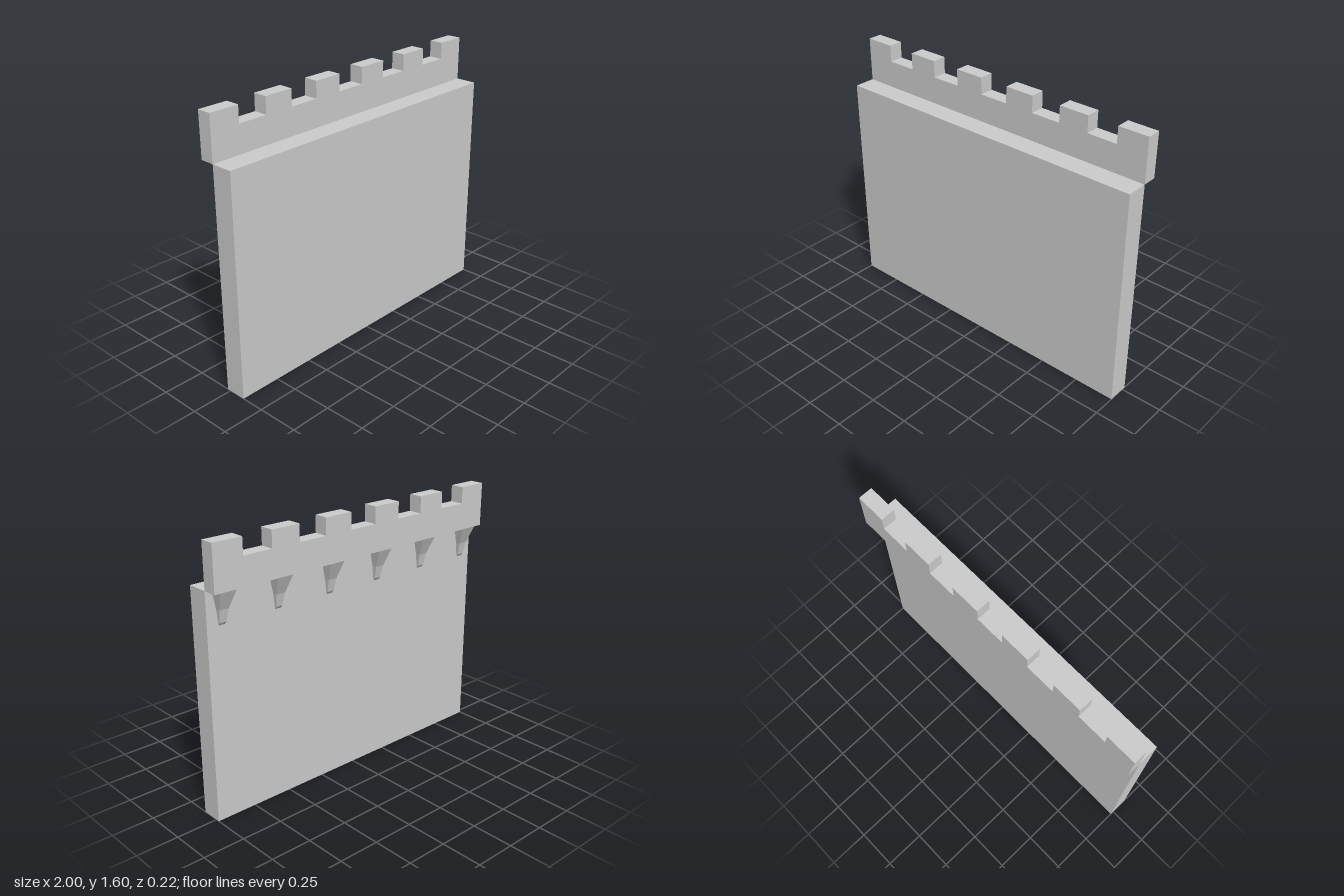
import * as THREE from 'three';

const material = new THREE.MeshStandardMaterial({ color: 0xcccccc, flatShading: true });
const FRONT = 0.108, BACK = -0.108, JOINT = -0.022; // z planes of wall and parapet
const WALL_TOP = 1.335, NOTCH = 1.5, TOP = 1.6;
const MERLONS = 6, STEP = 2 / (MERLONS * 2 - 1);

function addMesh(parent, geometry, name) {
  const mesh = new THREE.Mesh(geometry, material);
  mesh.name = name;
  parent.add(mesh);
  return mesh;
}

// Crenellated outline, extruded through the parapet's thickness
function parapetGeometry() {
  const shape = new THREE.Shape();
  shape.moveTo(-1, WALL_TOP);
  shape.lineTo(1, WALL_TOP);
  for (let i = 0; i < MERLONS; i++) {
    const right = 1 - i * 2 * STEP, left = right - STEP;
    if (i > 0) shape.lineTo(right, NOTCH);
    shape.lineTo(right, TOP);
    shape.lineTo(left, TOP);
    if (i < MERLONS - 1) shape.lineTo(left, NOTCH);
  }
  shape.closePath();
  return new THREE.ExtrudeGeometry(shape, { depth: JOINT - BACK, bevelEnabled: false })
    .translate(0, 0, BACK);
}

// Flared bracket: rectangular sections from bottom to top, [y, outer z, half width]
function corbelGeometry() {
  const sections = [
    [1.135, -0.025, 0.02],
    [1.15, -0.036, 0.021],
    [1.225, -0.052, 0.029],
    [WALL_TOP, -0.1, 0.05],
  ];
  const positions = [], index = [];
  for (const [y, z, w] of sections) {
    positions.push(-w, y, JOINT, w, y, JOINT, w, y, z, -w, y, z);
  }
  for (let s = 0; s < sections.length - 1; s++) {
    for (let k = 0; k < 4; k++) {
      const a = s * 4 + k, b = s * 4 + (k + 1) % 4;
      index.push(a, b, b + 4, a, b + 4, a + 4);
    }
  }
  const t = (sections.length - 1) * 4;
  index.push(0, 2, 1, 0, 3, 2, t, t + 1, t + 2, t, t + 2, t + 3);
  const indexed = new THREE.BufferGeometry();
  indexed.setAttribute('position', new THREE.Float32BufferAttribute(positions, 3));
  indexed.setIndex(index);
  const geometry = indexed.toNonIndexed();
  geometry.computeVertexNormals();
  return geometry;
}

export function createModel() {
  const model = new THREE.Group();
  model.name = 'battlementWall';

  // Main wall slab
  const wall = addMesh(model, new THREE.BoxGeometry(2, WALL_TOP, FRONT - JOINT), 'wall');
  wall.position.set(0, WALL_TOP / 2, (FRONT + JOINT) / 2);

  // Overhanging parapet
  addMesh(model, parapetGeometry(), 'parapet');

  // One corbel below each merlon
  const corbels = new THREE.Group();
  corbels.name = 'corbels';
  model.add(corbels);
  const geometry = corbelGeometry();
  for (let i = 0; i < MERLONS; i++) {
    addMesh(corbels, geometry, 'corbel').position.x = -1 + STEP * (2 * i + 0.5);
  }
  return model;
}
